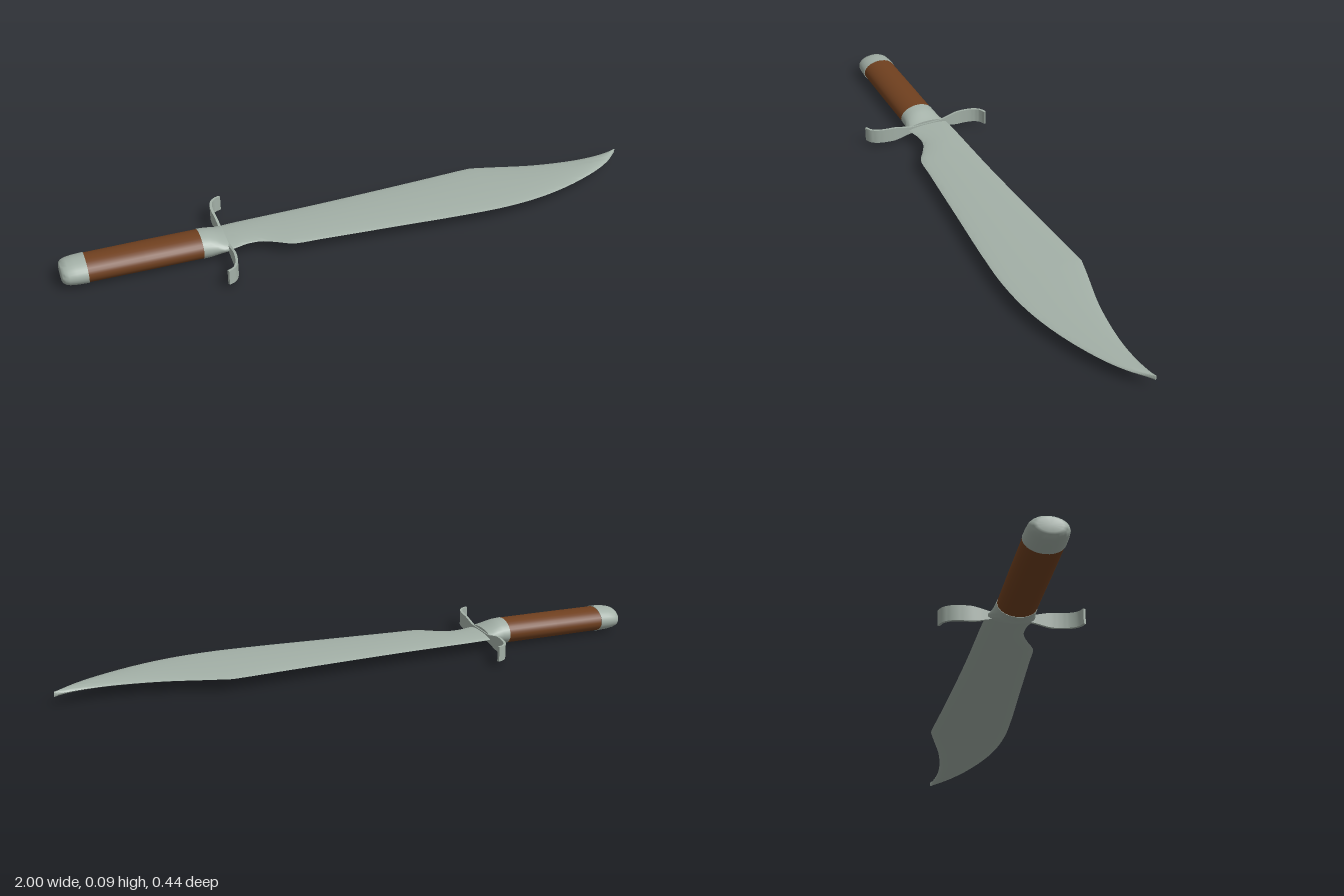
import * as THREE from 'three';
import { toCreasedNormals } from 'three/addons/utils/BufferGeometryUtils.js';

const MID = 0.0445; // height of the knife's centre plane
const steel = new THREE.MeshStandardMaterial({ color: 0xa3b0a7 });
const wood = new THREE.MeshStandardMaterial({ color: 0x70401f });

// Skin a list of point rings, closing both ends at their centres
function loft(name, rings, material, crease = 0.6) {
  const n = rings[0].length;
  const collapse = (ring) => {
    const c = new THREE.Vector3();
    ring.forEach((p) => c.addScaledVector(p, 1 / n));
    return ring.map(() => c);
  };
  const all = [collapse(rings[0]), ...rings, collapse(rings[rings.length - 1])];
  const positions = [];
  const index = [];
  all.forEach((ring) => ring.forEach((p) => positions.push(p.x, p.y, p.z)));
  for (let i = 0; i < all.length - 1; i++) {
    for (let j = 0; j < n; j++) {
      const a = i * n + j, b = i * n + (j + 1) % n, c = a + n, d = b + n;
      if (i > 0) index.push(a, c, b);
      if (i < all.length - 2) index.push(b, c, d);
      if (i === 0) index.push(a, c, d);
    }
  }
  // the start cap fan replaces the degenerate half of its quads
  const geometry = new THREE.BufferGeometry();
  geometry.setAttribute('position', new THREE.Float32BufferAttribute(positions, 3));
  geometry.setIndex(index);
  const mesh = new THREE.Mesh(toCreasedNormals(geometry, crease), material);
  mesh.name = name;
  return mesh;
}

// Cross-section at x: centre z, half width, half height; power > 1 thins the edges
function section(x, z, w, h, power = 1, n = 28) {
  return Array.from({ length: n }, (_, j) => {
    const a = (j / n) * Math.PI * 2;
    const s = Math.sin(a);
    return new THREE.Vector3(x, MID + h * Math.sign(s) * Math.abs(s) ** power, z + w * Math.cos(a));
  });
}

// Smooth outline z(x) through points; several runs meet at sharp corners
function outline(...runs) {
  const pts = runs.flatMap((run) =>
    new THREE.CatmullRomCurve3(run.map(([x, z]) => new THREE.Vector3(x, 0, z))).getPoints(80));
  return (x) => {
    const i = pts.findIndex((p) => p.x >= x);
    if (i < 0) return pts[pts.length - 1].z;
    if (i === 0) return pts[0].z;
    const a = pts[i - 1], b = pts[i];
    return THREE.MathUtils.mapLinear(x, a.x, b.x + 1e-9, a.z, b.z);
  };
}

function makeBlade() {
  const spine = outline(
    [[-0.475, -0.077], [-0.44, -0.08], [-0.13, -0.088], [0.24, -0.106], [0.42, -0.117], [0.455, -0.118]],
    [[0.455, -0.118], [0.52, -0.1], [0.67, -0.058], [0.82, -0.036], [0.91, -0.036], [0.995, -0.047]]);
  const edge = outline(
    [[-0.475, 0.07], [-0.45, 0.065], [-0.415, 0.056], [-0.366, 0.058], [-0.313, 0.085], [-0.275, 0.107],
      [-0.18, 0.115], [0.08, 0.134], [0.3, 0.15], [0.45, 0.155], [0.59, 0.143], [0.725, 0.11],
      [0.86, 0.056], [0.94, 0.008], [0.995, -0.043]]);
  const xs = [0.455];
  for (let i = 0; i <= 90; i++) xs.push(-0.475 + (1.47 * i) / 90);
  xs.sort((a, b) => a - b);
  const rings = xs.map((x) => {
    const s = spine(x), e = edge(x);
    return section(x, (s + e) / 2, Math.max((e - s) / 2, 0.002), 0.0085, 1.3);
  });
  return loft('blade', rings, steel, 0.5);
}

// S-curved cross guard, a thin strip that narrows where it passes the blade
function makeGuard() {
  const path = new THREE.CatmullRomCurve3([
    [-0.428, -0.216], [-0.45, -0.207], [-0.466, -0.185], [-0.474, -0.14], [-0.472, -0.08], [-0.472, 0],
    [-0.472, 0.08], [-0.474, 0.14], [-0.483, 0.18], [-0.498, 0.203], [-0.519, 0.213],
  ].map(([x, z]) => new THREE.Vector3(x, MID, z)));
  const rings = [];
  for (let i = 0; i <= 60; i++) {
    const p = path.getPointAt(i / 60);
    const t = path.getTangentAt(i / 60);
    const h = 0.012 + 0.0135 * THREE.MathUtils.smoothstep(Math.abs(p.z), 0.05, 0.13);
    rings.push([[1, 1], [1, -1], [-1, -1], [-1, 1]].map(([u, v]) =>
      new THREE.Vector3(p.x + u * t.z * 0.004, p.y + v * h, p.z - u * t.x * 0.004)));
  }
  return loft('crossGuard', rings, steel);
}

export function createModel() {
  const model = new THREE.Group();
  model.name = 'knife';
  const sleeve = (name, stations, material) =>
    loft(name, stations.map(([x, w, h, z = 0]) => section(x, z, w, h)), material, 0.8);

  model.add(makeBlade(), makeGuard());

  // Oval grip
  model.add(sleeve('grip', [[-0.925, 0.06, 0.041], [-0.74, 0.061, 0.042], [-0.55, 0.061, 0.042]], wood));

  // Rounded pommel cap
  model.add(sleeve('pommel', [
    [-1, 0.036, 0.022], [-0.997, 0.046, 0.028], [-0.99, 0.054, 0.033], [-0.978, 0.059, 0.037],
    [-0.955, 0.061, 0.041], [-0.92, 0.062, 0.043]], steel));

  // Collar flaring sideways and flattening towards the guard
  model.add(sleeve('collar', [
    [-0.555, 0.062, 0.043], [-0.53, 0.063, 0.041], [-0.51, 0.065, 0.035], [-0.49, 0.069, 0.026],
    [-0.472, 0.073, 0.02, -0.003]], steel));

  return model;
}
